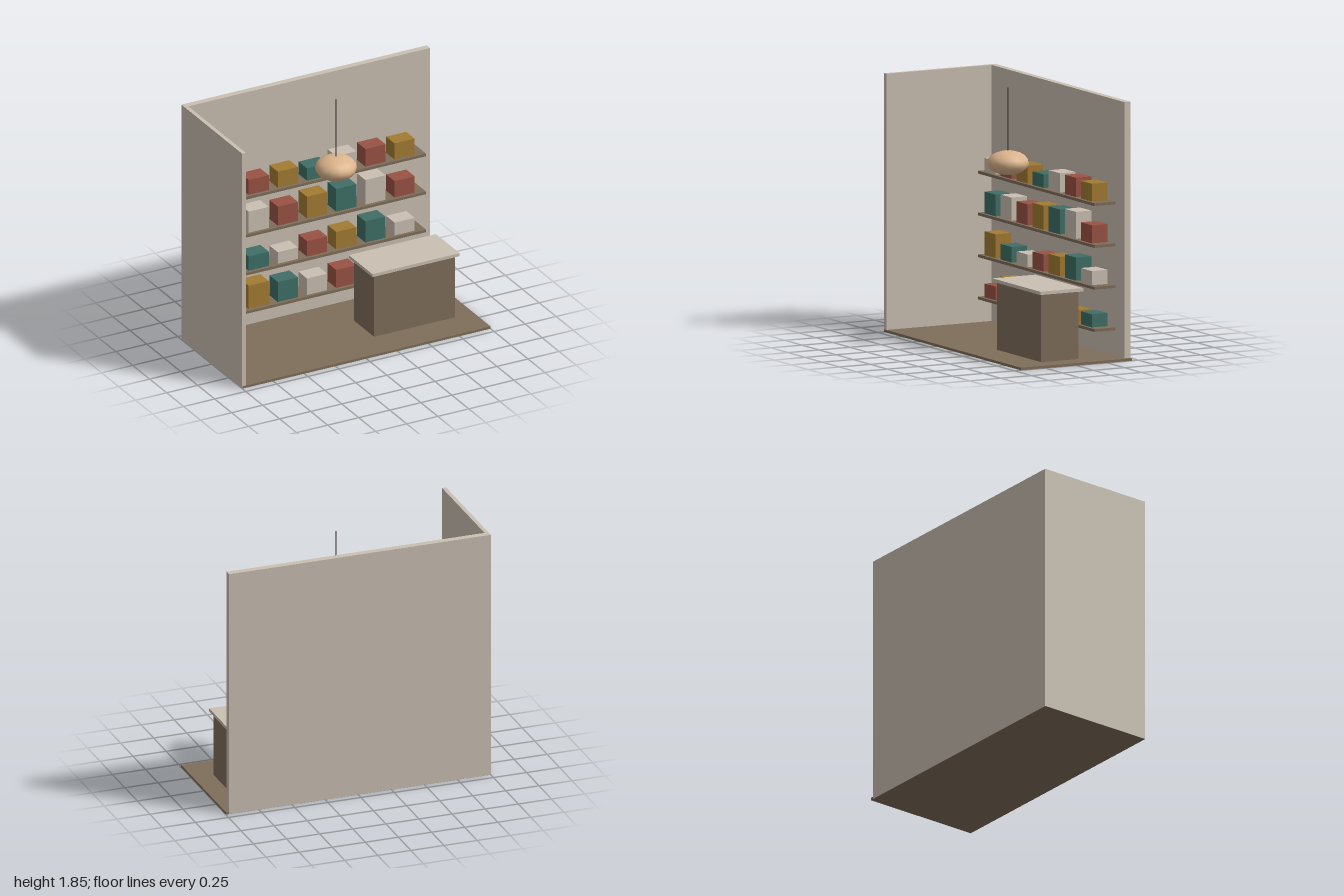
import * as THREE from 'three';

const material = (name, color) => {
  const m = new THREE.MeshStandardMaterial({ color });
  m.name = name;
  return m;
};

export function createModel() {
  const cream = material('cream', 0xcac0b2);
  const wood = material('brown wood', 0x7f6d5a);
  const red = material('brick red', 0x9a5344);
  const ochre = material('ochre', 0xa37b32);
  const teal = material('teal', 0x3f6f67);
  const tan = material('lamp tan', 0xdcb48c);
  const dark = material('dark cord', 0x3a302b);

  const model = new THREE.Group();
  model.name = 'shopInterior';

  // Box given by its extents along each axis
  const addBox = (name, mat, [x0, x1], [y0, y1], [z0, z1], parent = model) => {
    const mesh = new THREE.Mesh(new THREE.BoxGeometry(x1 - x0, y1 - y0, z1 - z0), mat);
    mesh.position.set((x0 + x1) / 2, (y0 + y1) / 2, (z0 + z1) / 2);
    mesh.name = name;
    parent.add(mesh);
  };

  // Floor and walls; the floor is inset a hair behind the wall faces
  addBox('floor', wood, [-0.999, 1], [0, 0.018], [-0.447, 0.449]);
  addBox('backWall', cream, [-1, 0.976], [0.001, 1.85], [-0.448, -0.4]);
  addBox('sideWall', cream, [-1, -0.97], [0.001, 1.85], [-0.4, 0.448]);

  // Shelves of boxes; colours cycle, heights are listed from right to left of the room
  const cycle = [red, ochre, teal, cream];
  const shelves = [
    { y: 0.222, first: 0, heights: [0.098, 0.183, 0.157, 0.13, 0.141, 0.09, 0.094] },
    { y: 0.524, first: 1, heights: [0.17, 0.112, 0.09, 0.122, 0.138, 0.166, 0.101] },
    { y: 0.823, first: 2, heights: [0.155, 0.166, 0.15, 0.172, 0.178, 0.193, 0.129] },
    { y: 1.122, first: 3, heights: [0.097, 0.117, 0.126, 0.097, 0.138, 0.138, 0.127] },
  ];
  shelves.forEach(({ y, first, heights }, row) => {
    const group = new THREE.Group();
    group.name = `shelfRow${row + 1}`;
    addBox('shelf', wood, [-0.85, 0.85], [y - 0.02, y], [-0.4, -0.227], group);
    heights.forEach((h, i) => {
      const x = -0.72 + i * 0.235;
      addBox('box', cycle[(first + i) % 4], [x - 0.081, x + 0.081], [y, y + h], [-0.376, -0.251], group);
    });
    model.add(group);
  });

  // Counter
  addBox('counterBody', wood, [0.198, 0.848], [0.018, 0.503], [-0.1, 0.2]);
  addBox('counterTop', cream, [0.172, 0.874], [0.503, 0.527], [-0.126, 0.222]);

  // Hanging lamp
  const shade = new THREE.Mesh(new THREE.SphereGeometry(0.149, 14, 10), tan);
  shade.scale.y = 0.58;
  shade.position.y = 1.314;
  shade.name = 'lampShade';
  model.add(shade);
  const cord = new THREE.Mesh(new THREE.CylinderGeometry(0.004, 0.004, 0.46, 8), dark);
  cord.position.y = 1.62;
  cord.name = 'lampCord';
  model.add(cord);

  return model;
}
